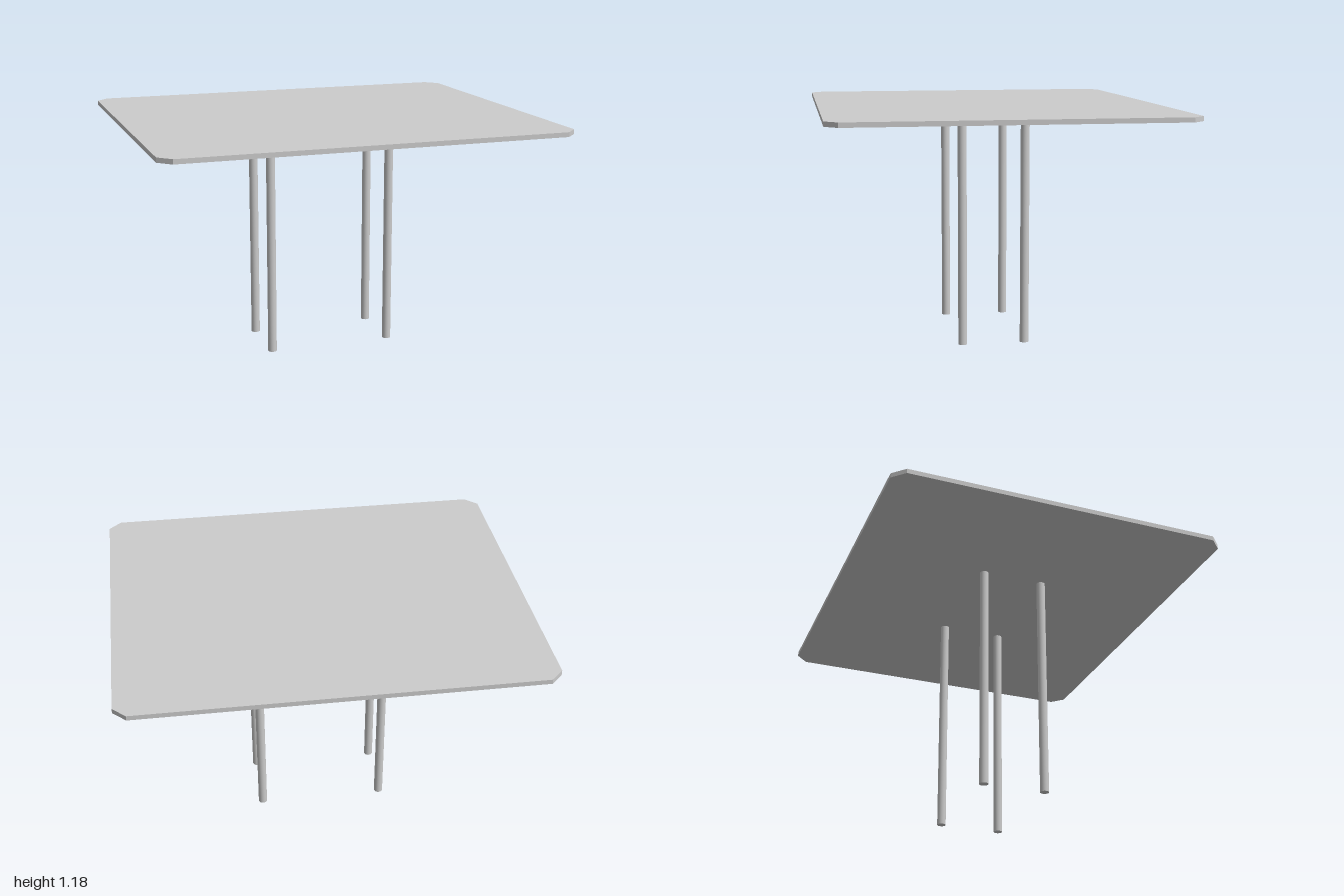
import * as THREE from 'three';

export function createModel() {
  const group = new THREE.Group();
  const material = new THREE.MeshStandardMaterial({ color: 0xcccccc });
  const halfW = 1, halfD = 0.843, cut = 0.06;
  const topY = 1.178, thickness = 0.023, legHeight = topY - thickness;

  // Thin top with clipped corners
  const outline = new THREE.Shape([
    [halfW - cut, -halfD], [halfW, cut - halfD],
    [halfW, halfD - cut], [halfW - cut, halfD],
    [cut - halfW, halfD], [-halfW, halfD - cut],
    [-halfW, cut - halfD], [cut - halfW, -halfD],
  ].map(([x, y]) => new THREE.Vector2(x, y)));
  const topGeometry = new THREE.ExtrudeGeometry(outline, { depth: thickness, bevelEnabled: false });
  topGeometry.rotateX(-Math.PI / 2);
  const top = new THREE.Mesh(topGeometry, material);
  top.name = 'tableTop';
  top.position.y = legHeight;
  group.add(top);

  // Four slender round legs set well in from the edges
  const legGeometry = new THREE.CylinderGeometry(0.022, 0.022, legHeight, 24);
  for (const [endName, z] of [['front', 0.156], ['back', -0.156]]) {
    for (const [sideName, x] of [['Left', 0.312], ['Right', -0.312]]) {
      const leg = new THREE.Mesh(legGeometry, material);
      leg.name = `${endName}${sideName}Leg`;
      leg.position.set(x, legHeight / 2, z);
      group.add(leg);
    }
  }
  return group;
}
